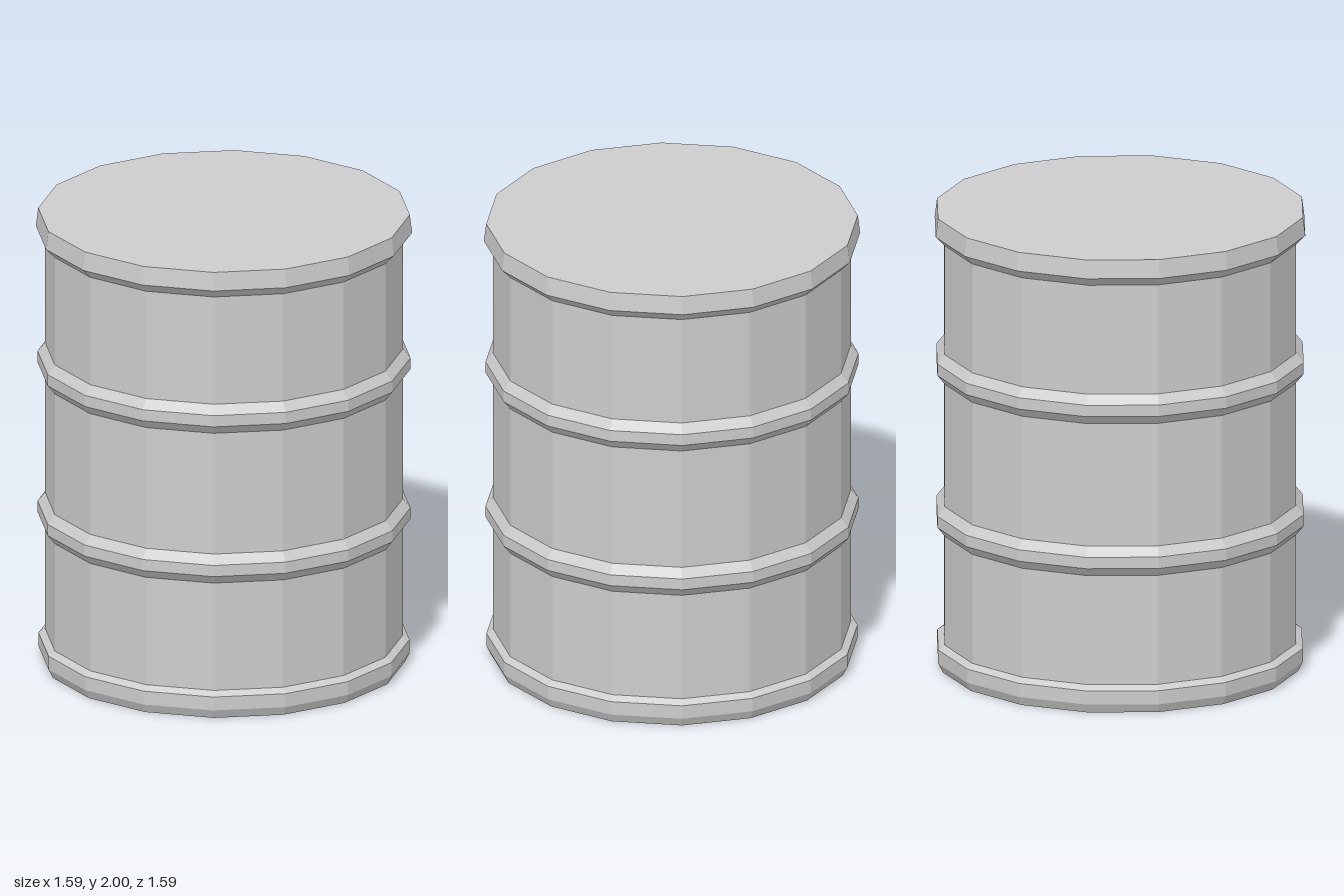
import * as THREE from 'three';

const SIDES = 16;
const BODY = 0.757; // wall radius

export function createModel() {
  const group = new THREE.Group();
  group.name = 'barrel';
  const steel = new THREE.MeshStandardMaterial({ color: 0xcccccc, flatShading: true });
  steel.name = 'grey steel';

  const add = (name, geometry) => {
    const mesh = new THREE.Mesh(geometry, steel);
    mesh.name = name;
    group.add(mesh);
    return mesh;
  };
  // Faceted ring turned from [radius, height] pairs, listed bottom to top
  const turned = (name, profile) =>
    add(name, new THREE.LatheGeometry(profile.map(([r, y]) => new THREE.Vector2(r, y)), SIDES));
  // Flat end disc
  const disc = (name, radius, y, tilt) => {
    const geometry = new THREE.CircleGeometry(radius, SIDES);
    geometry.rotateX(tilt);
    add(name, geometry).position.y = y;
  };

  // Rims
  turned('bottomRim', [[0.765, 0], [0.785, 0.04], [0.785, 0.1], [BODY, 0.12]]);
  turned('topRim', [[BODY, 1.88], [0.796, 1.92], [0.786, 2]]);

  // Raised hoops around the wall
  const hoops = [0.6, 1.27];
  hoops.forEach((y, i) => turned(i ? 'upperHoop' : 'lowerHoop',
    [[BODY, y], [0.789, y + 0.04], [0.789, y + 0.09], [BODY, y + 0.13]]));

  // Straight wall sections between rims and hoops
  [['lowerWall', 0.12, 0.6], ['middleWall', 0.73, 1.27], ['upperWall', 1.4, 1.88]]
    .forEach(([name, y0, y1]) => turned(name, [[BODY, y0], [BODY, y1]]));

  // Ends
  disc('lid', 0.786, 2, -Math.PI / 2);
  disc('base', 0.765, 0, Math.PI / 2);

  return group;
}
